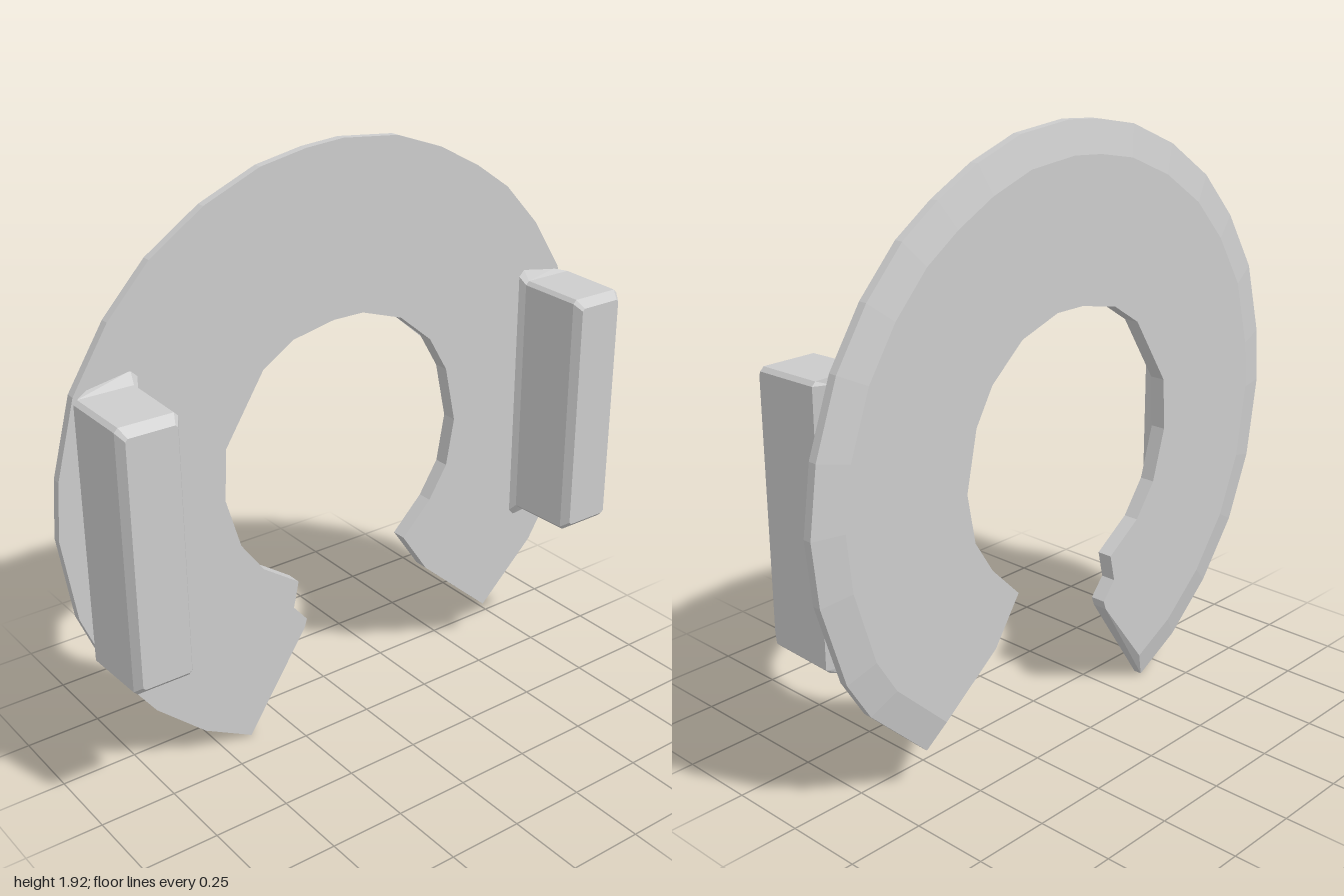
import * as THREE from 'three';

// Parts are drawn in a (u, y) plane and pushed along w, then turned so u = -z and w = x.
const CY = 0.92; // height of the ring centre
const material = new THREE.MeshStandardMaterial({ color: 0xcccccc, flatShading: true, side: THREE.DoubleSide });

// Open ring outline: outer rim from the left foot over the top, then back along the bore
const outer = [
  [-0.39, 0], [-0.56, 0.09], [-0.73, 0.24], [-0.87, 0.43], [-0.96, 0.65], [-1, 0.92], [-0.985, 1.1],
  [-0.92, 1.34], [-0.8, 1.53], [-0.66, 1.68], [-0.48, 1.8], [-0.29, 1.88], [-0.13, 1.91], [0, 1.92],
  [0.2, 1.9], [0.37, 1.84], [0.52, 1.76], [0.65, 1.67], [0.78, 1.53], [0.89, 1.36], [0.97, 1.14],
  [1, 0.93], [0.98, 0.73], [0.9, 0.47], [0.82, 0.34], [0.61, 0.14],
];
const inner = [
  [0.34, 0.38], [0.24, 0.53], [0.35, 0.64], [0.42, 0.75], [0.45, 0.91], [0.41, 1.1], [0.34, 1.22],
  [0.22, 1.32], [0.07, 1.37], [-0.04, 1.37], [-0.19, 1.34], [-0.3, 1.27], [-0.44, 1.05], [-0.45, 0.88],
  [-0.4, 0.71], [-0.32, 0.6], [-0.19, 0.51], [-0.21, 0.42], [-0.16, 0.36], [-0.17, 0.33],
];

// Flat ring slice between w0 and w1; the rim of the w0 side is drawn in to make a bevel
function ringSlice(w0, w1, backScale) {
  const shape = new THREE.Shape([...outer, ...inner].map(([u, y]) => new THREE.Vector2(u, y)));
  const g = new THREE.ExtrudeGeometry(shape, { depth: w1 - w0, bevelEnabled: false });
  const p = g.attributes.position;
  for (let i = 0; i < p.count; i++) {
    const u = p.getX(i), y = p.getY(i) - CY;
    if (p.getZ(i) < 1e-6 && Math.hypot(u, y) > 0.8) p.setXY(i, u * backScale, CY + y * backScale);
  }
  g.translate(0, 0, w0);
  g.rotateY(Math.PI / 2);
  g.computeVertexNormals();
  return g;
}

// Chamfered block lofted through octagonal sections, with a flared foot kept inside the rim
function lugGeometry(cu) {
  const layers = [
    [-0.125, 0.115, 0.46, 0.02], [-0.113, 0.112, 0.455, 0.02], [-0.09, 0.1, 0.42, 0.012],
    [0.13, 0.097, 0.415, 0.012], [0.158, 0.08, 0.39, 0.008],
  ];
  const rings = layers.map(([w, hu, hy, c], k) =>
    [[hu, -hy + c], [hu, hy - c], [hu - c, hy], [-hu + c, hy],
      [-hu, hy - c], [-hu, -hy + c], [-hu + c, -hy], [hu - c, -hy]].map(([a, b]) => {
      const u = cu + a;
      const s = k < 2 ? Math.min(1, 0.975 / Math.hypot(u, b)) : 1;
      return [u * s, CY + b * s, w];
    }));
  const pos = [];
  const tri = (a, b, c) => pos.push(...a, ...b, ...c);
  for (let k = 0; k < rings.length - 1; k++) {
    for (let i = 0; i < 8; i++) {
      const j = (i + 1) % 8, A = rings[k], B = rings[k + 1];
      tri(A[i], A[j], B[j]);
      tri(A[i], B[j], B[i]);
    }
  }
  const first = rings[0], last = rings[rings.length - 1];
  for (let i = 1; i < 7; i++) {
    tri(last[0], last[i], last[i + 1]);
    tri(first[0], first[i + 1], first[i]);
  }
  const g = new THREE.BufferGeometry();
  g.setAttribute('position', new THREE.Float32BufferAttribute(pos, 3));
  g.rotateY(Math.PI / 2);
  g.computeVertexNormals();
  return g;
}

export function createModel() {
  const model = new THREE.Group();
  model.name = 'openRingClip';
  const add = (name, geometry) => {
    const mesh = new THREE.Mesh(geometry, material);
    mesh.name = name;
    model.add(mesh);
  };
  // Plate with a thin rim and a bevelled raised back
  add('ringPlate', ringSlice(-0.14, -0.112, 1));
  add('ringBack', ringSlice(-0.163, -0.14, 0.9));
  // Two upright lugs
  add('frontLug', lugGeometry(-0.83));
  add('backLug', lugGeometry(0.83));
  return model;
}
